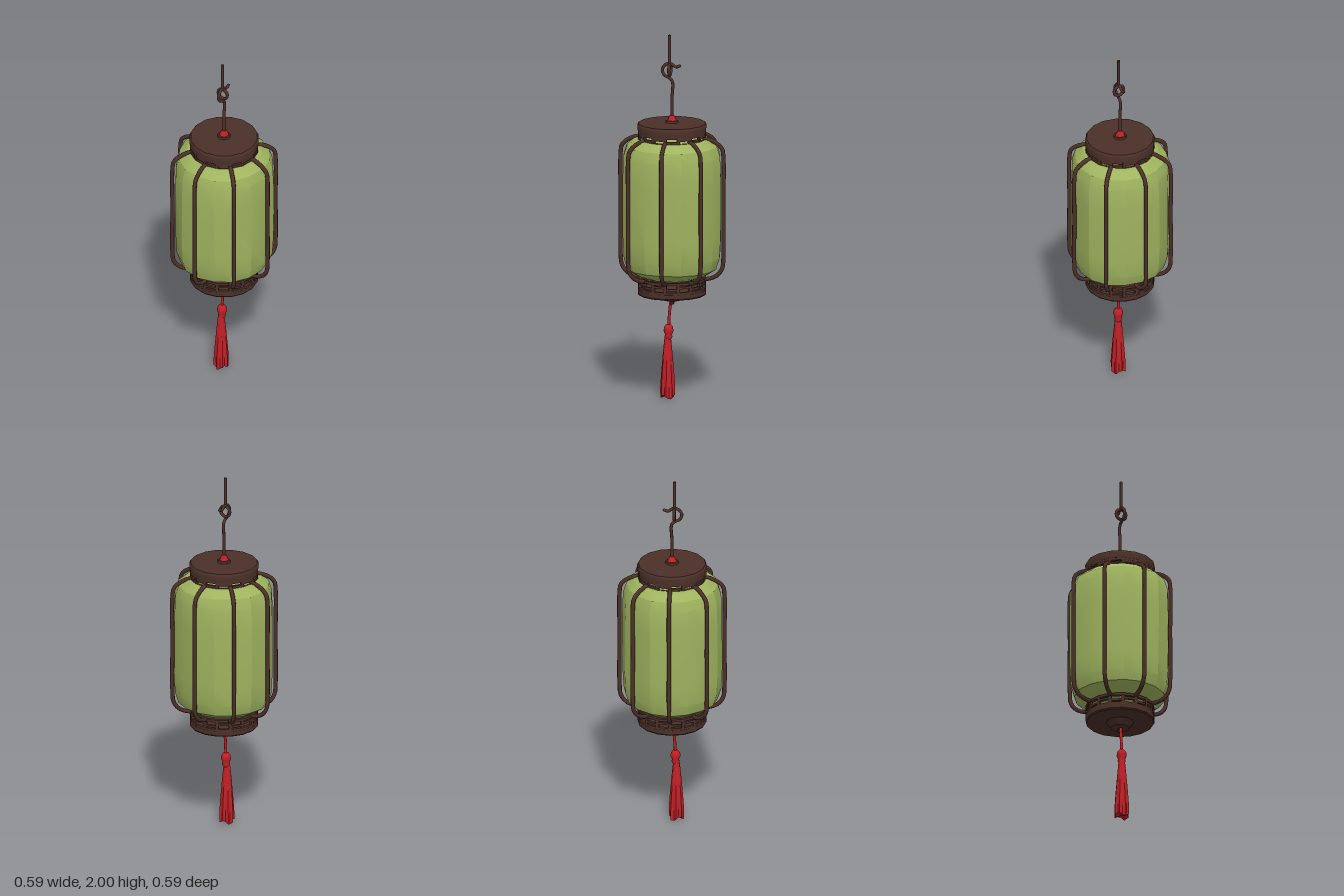
import * as THREE from 'three';
import { toCreasedNormals } from 'three/addons/utils/BufferGeometryUtils.js';

const wood = new THREE.MeshStandardMaterial({ color: 0x4b3028 });
wood.name = 'darkWood';
const paper = new THREE.MeshStandardMaterial({ color: 0x9fb45f });
paper.name = 'greenPaper';
const silk = new THREE.MeshStandardMaterial({ color: 0xc02026 });
silk.name = 'redSilk';

const vec = (p) => new THREE.Vector3(...p);

function add(parent, name, geometry, material) {
  const mesh = new THREE.Mesh(geometry, material);
  mesh.name = name;
  parent.add(mesh);
  return mesh;
}

// Revolve a profile that runs from bottom to top
function lathe(points, sides, crease = 0.6) {
  const g = new THREE.LatheGeometry(points.map((p) => new THREE.Vector2(...p)), sides);
  return toCreasedNormals(g, crease);
}

function ring(inner, outer, y0, y1, sides = 16) {
  return lathe([[inner, y0], [outer, y0], [outer, y1], [inner, y1], [inner, y0]], sides);
}

function tube(points, radius, segments = 24, sides = 8) {
  const curve = new THREE.CatmullRomCurve3(points.map(vec), false, 'centripetal');
  return new THREE.TubeGeometry(curve, segments, radius, sides);
}

// Paper body, slightly uneven around its circumference
function shadeGeometry() {
  const profile = [[0, 0.67], [0.15, 0.67], [0.2, 0.69], [0.245, 0.72], [0.264, 0.78],
    [0.27, 0.9], [0.27, 1.2], [0.265, 1.34], [0.247, 1.395], [0.205, 1.43], [0.15, 1.44], [0, 1.44]];
  const g = new THREE.LatheGeometry(profile.map((p) => new THREE.Vector2(...p)), 16);
  const pos = g.attributes.position;
  for (let i = 0; i < pos.count; i++) {
    const a = Math.atan2(pos.getX(i), pos.getZ(i));
    const y = pos.getY(i);
    const k = 1 + 0.011 * Math.sin(3 * a + 1) + 0.009 * Math.cos(5 * a + 2 * y);
    pos.setX(i, pos.getX(i) * k);
    pos.setZ(i, pos.getZ(i) * k);
  }
  return toCreasedNormals(g, 0.36);
}

// Pierced fretwork band: rails, posts and short staggered bars
function fretwork(parent, name, y0, y1) {
  const band = new THREE.Group();
  band.name = name;
  parent.add(band);
  const h = y1 - y0;
  const mid = (y0 + y1) / 2;
  add(band, 'lowerRail', ring(0.168, 0.186, y0, y0 + 0.014), wood);
  add(band, 'upperRail', ring(0.168, 0.186, y1 - 0.014, y1), wood);
  const count = 16;
  for (let i = 0; i < count; i++) {
    const a = (i / count) * Math.PI * 2;
    const post = add(band, 'post', new THREE.BoxGeometry(0.016, h, 0.016), wood);
    post.position.set(Math.sin(a) * 0.177, mid, Math.cos(a) * 0.177);
    post.rotation.y = a;
    const b = a + Math.PI / count;
    const bar = add(band, 'crossBar', new THREE.BoxGeometry(0.06, 0.012, 0.014), wood);
    bar.position.set(Math.sin(b) * 0.174, mid + (i % 2 ? 0.006 : -0.006), Math.cos(b) * 0.174);
    bar.rotation.y = b;
  }
}

// Fluted skirt of the tassel, built as a rippled cylinder
function tasselSkirt() {
  const profile = [[0, 0.015], [0.036, 0.005], [0.037, 0.06], [0.033, 0.14], [0.026, 0.24],
    [0.019, 0.32], [0.016, 0.345]];
  const g = new THREE.LatheGeometry(profile.map((p) => new THREE.Vector2(...p)), 32);
  const pos = g.attributes.position;
  for (let i = 0; i < pos.count; i++) {
    const a = Math.atan2(pos.getX(i), pos.getZ(i));
    const y = pos.getY(i);
    const k = 1 + 0.14 * Math.cos(8 * a) * (1 - y / 0.36);
    pos.setX(i, pos.getX(i) * k);
    pos.setZ(i, pos.getZ(i) * k);
    if (y < 0.01) pos.setY(i, 0.01 - 0.01 * Math.cos(3 * a));
  }
  return toCreasedNormals(g, 0.8);
}

export function createModel() {
  const lantern = new THREE.Group();
  lantern.name = 'hangingLantern';

  add(lantern, 'paperShade', shadeGeometry(), paper);

  // Eight bent ribs around the shade
  const ribs = new THREE.Group();
  ribs.name = 'ribs';
  lantern.add(ribs);
  const ribGeometry = tube([[0.17, 0.664, 0], [0.205, 0.668, 0], [0.25, 0.69, 0], [0.277, 0.73, 0],
    [0.283, 0.79, 0], [0.283, 1.08, 0], [0.283, 1.34, 0], [0.276, 1.385, 0], [0.25, 1.412, 0],
    [0.205, 1.434, 0], [0.17, 1.44, 0]], 0.0115, 48);
  for (let i = 0; i < 8; i++) {
    add(ribs, 'rib', ribGeometry, wood).rotation.y = (i * Math.PI) / 4;
  }

  // Top cap and bottom base with their fretwork bands
  add(lantern, 'topCap', lathe([[0, 1.472], [0.187, 1.472], [0.189, 1.505], [0.182, 1.517], [0, 1.521]], 16), wood);
  fretwork(lantern, 'topFretwork', 1.422, 1.474);
  add(lantern, 'bottomBase', lathe([[0, 0.578], [0.182, 0.575], [0.187, 0.582], [0.187, 0.606], [0, 0.606]], 16), wood);
  fretwork(lantern, 'bottomFretwork', 0.604, 0.67);
  add(lantern, 'bottomBoss', lathe([[0, 0.54], [0.05, 0.543], [0.075, 0.578], [0, 0.58]], 12), wood);
  add(lantern, 'cordSocket', lathe([[0, 0.518], [0.012, 0.518], [0.014, 0.545], [0, 0.545]], 10), wood);

  // Stem with a red collar
  add(lantern, 'stemFoot', lathe([[0, 1.515], [0.038, 1.518], [0.034, 1.53], [0, 1.534]], 10), wood);
  add(lantern, 'stemCollar', lathe([[0, 1.528], [0.026, 1.53], [0.012, 1.56], [0, 1.565]], 10), silk);

  // Stem curling into an open hook
  add(lantern, 'stemHook', tube([[0, 1.53, 0], [0, 1.65, 0], [0, 1.745, -0.002], [0, 1.763, 0.014],
    [0, 1.78, 0.043], [0, 1.81, 0.053], [0, 1.838, 0.033], [0, 1.842, 0.005], [0, 1.826, -0.02],
    [0, 1.832, -0.042]], 0.0085, 60), wood);
  const tip = add(lantern, 'hookTip', new THREE.SphereGeometry(0.0085, 8, 6), wood);
  tip.position.set(0, 1.832, -0.042);

  // Upper rod ending in an eye threaded on the hook
  const eye = add(lantern, 'hangerEye', new THREE.TorusGeometry(0.03, 0.0085, 8, 14), wood);
  eye.position.set(0, 1.808, 0.012);
  const rod = add(lantern, 'hangerRod', new THREE.CylinderGeometry(0.0085, 0.0085, 0.166, 8), wood);
  rod.position.set(0, 1.917, 0.014);

  // Tassel on its cord
  const tassel = new THREE.Group();
  tassel.name = 'tassel';
  lantern.add(tassel);
  add(tassel, 'cord', tube([[0, 0.55, 0.004], [0, 0.47, 0.014], [0, 0.39, 0.018]], 0.008, 8), silk);
  const head = add(tassel, 'knot', lathe([[0.014, 0.325], [0.022, 0.34], [0.019, 0.352], [0.027, 0.37],
    [0.025, 0.39], [0.015, 0.405], [0, 0.408]], 12, 1), silk);
  head.position.z = 0.019;
  const skirt = add(tassel, 'skirt', tasselSkirt(), silk);
  skirt.position.set(-0.002, 0, 0.024);

  return lantern;
}
